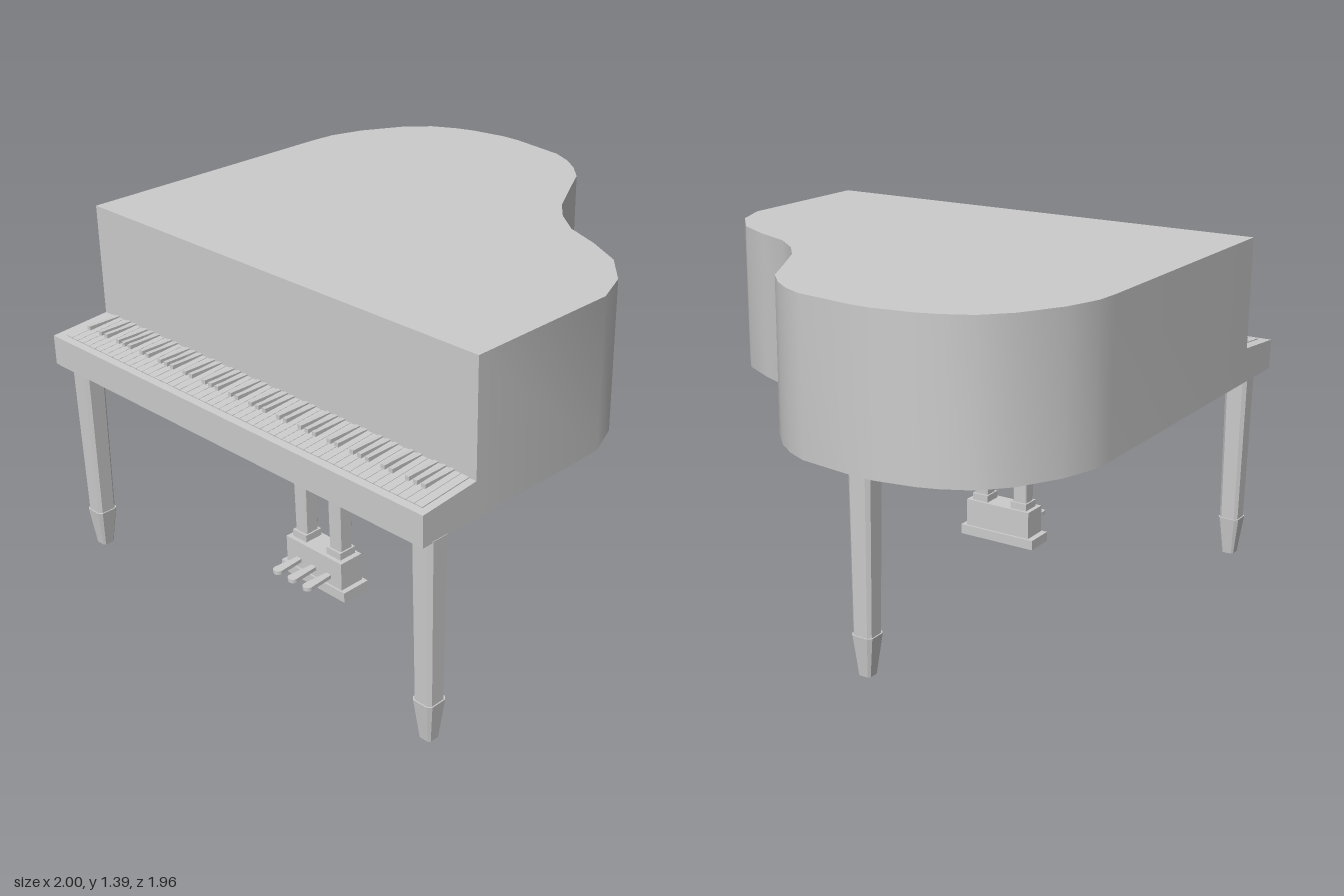
import * as THREE from 'three';
import { toCreasedNormals } from 'three/addons/utils/BufferGeometryUtils.js';

const smooth = new THREE.MeshStandardMaterial({ color: 0xcccccc });
const flat = new THREE.MeshStandardMaterial({ color: 0xcccccc, flatShading: true });

function add(parent, name, geometry, material = flat) {
  const mesh = new THREE.Mesh(geometry, material);
  mesh.name = name;
  parent.add(mesh);
  return mesh;
}

// Box given by its limits on each axis
function box(parent, name, [x0, x1], [y0, y1], [z0, z1]) {
  const g = new THREE.BoxGeometry(x1 - x0, y1 - y0, z1 - z0);
  g.translate((x0 + x1) / 2, (y0 + y1) / 2, (z0 + z1) / 2);
  return add(parent, name, g);
}

// Square tapered post with chamfered corners, from y0 up to y1
function post(parent, name, x, z, y0, y1, wBottom, wTop, edge = 0.7) {
  const c = Math.cos(Math.PI / 8), t = Math.tan(Math.PI / 8);
  const g = new THREE.CylinderGeometry(wTop / 2 / c, wBottom / 2 / c, y1 - y0, 8, 1, false, Math.PI / 8);
  const p = g.attributes.position;
  for (let i = 0; i < p.count; i++) {
    const px = p.getX(i), pz = p.getZ(i);
    if (Math.abs(px) < Math.abs(pz)) p.setX(i, px * edge / t);
    else p.setZ(i, pz * edge / t);
  }
  g.translate(x, (y0 + y1) / 2, z);
  return add(parent, name, g);
}

function createCase(root) {
  // Curved case, outline in x and z
  const outline = [
    [-0.75, -0.98], [0.4, -0.98], [0.5, -0.973], [0.636, -0.93], [0.797, -0.84], [0.893, -0.75],
    [0.947, -0.647], [0.973, -0.572], [1, -0.42], [1, -0.34], [0.968, -0.1], [0.93, -0.016],
    [0.877, 0.06], [0.797, 0.14], [0.65, 0.22], [0.49, 0.31], [0.396, 0.39], [0.31, 0.5],
    [0.25, 0.65], [0.17, 0.8], [0.037, 0.92], [-0.112, 0.98], [-0.75, 0.98],
  ];
  const shape = new THREE.Shape(outline.map(([x, z]) => new THREE.Vector2(x, z)));
  const body = new THREE.ExtrudeGeometry(shape, { depth: 0.585, bevelEnabled: false });
  body.rotateX(Math.PI / 2).translate(0, 1.39, 0);
  add(root, 'case', toCreasedNormals(body, 0.7), smooth);

  // Sloping key bed in front of the case
  const side = new THREE.Shape([[-1, 0.805], [-0.75, 0.805], [-0.75, 0.945], [-1, 0.925]]
    .map(([x, y]) => new THREE.Vector2(x, y)));
  const bed = new THREE.ExtrudeGeometry(side, { depth: 1.96, bevelEnabled: false });
  add(root, 'keyBed', bed.translate(0, 0, -0.98));
}

function createKeyboard(root) {
  const keys = new THREE.Group();
  keys.name = 'keyboard';
  const count = 52, pitch = 0.0363, start = -0.937;
  const hasSharp = [true, false, true, true, false, true, true]; // starting from A
  for (let i = 0; i < count; i++) {
    const z = start + i * pitch;
    const white = box(keys, 'whiteKey', [-0.11, 0.11], [-0.004, 0.004], [z + 0.001, z + pitch - 0.001]);
    white.position.set(-0.86, 0.936, 0);
    white.rotation.z = 0.08;
    if (hasSharp[i % 7] && i < count - 1) {
      const zb = z + pitch;
      box(keys, 'blackKey', [-0.89, -0.745], [0.93, 0.954], [zb - 0.009, zb + 0.009]);
    }
  }
  root.add(keys);
}

function createLegs(root) {
  for (const [x, z] of [[-0.92, 0.935], [-0.92, -0.887], [0.855, -0.28]]) {
    const leg = new THREE.Group();
    leg.name = 'leg';
    post(leg, 'legShaft', x, z, 0.16, 0.81, 0.08, 0.094);
    post(leg, 'legFoot', x, z, 0, 0.16, 0.052, 0.09);
    root.add(leg);
  }
}

function createPedals(root) {
  const lyre = new THREE.Group();
  lyre.name = 'pedalLyre';
  box(lyre, 'topBar', [-0.545, -0.46], [0.765, 0.81], [-0.23, 0.2]);
  for (const z of [0.078, -0.113]) {
    post(lyre, 'lyrePost', -0.502, z, 0.19, 0.77, 0.062, 0.074, 0.85);
    box(lyre, 'postCollar', [-0.542, -0.462], [0.16, 0.198], [z - 0.038, z + 0.038]);
  }
  box(lyre, 'pedalBox', [-0.56, -0.45], [0.05, 0.168], [-0.17, 0.138]);
  box(lyre, 'pedalBase', [-0.568, -0.44], [0.008, 0.05], [-0.196, 0.16]);

  // Flat pedals with rounded tips
  const tongue = new THREE.Shape();
  tongue.moveTo(-0.55, -0.012);
  tongue.lineTo(-0.55, 0.012);
  tongue.lineTo(-0.67, 0.021);
  tongue.absarc(-0.67, 0, 0.021, Math.PI / 2, Math.PI * 1.5, false);
  const g = new THREE.ExtrudeGeometry(tongue, { depth: 0.016, bevelEnabled: false, curveSegments: 6 });
  g.rotateX(Math.PI / 2).translate(0, 0.096, 0);
  for (const z of [-0.1, -0.016, 0.068]) add(lyre, 'pedal', g).position.z = z;
  root.add(lyre);
}

export function createModel() {
  const root = new THREE.Group();
  root.name = 'grandPiano';
  createCase(root);
  createKeyboard(root);
  createLegs(root);
  createPedals(root);
  return root;
}
